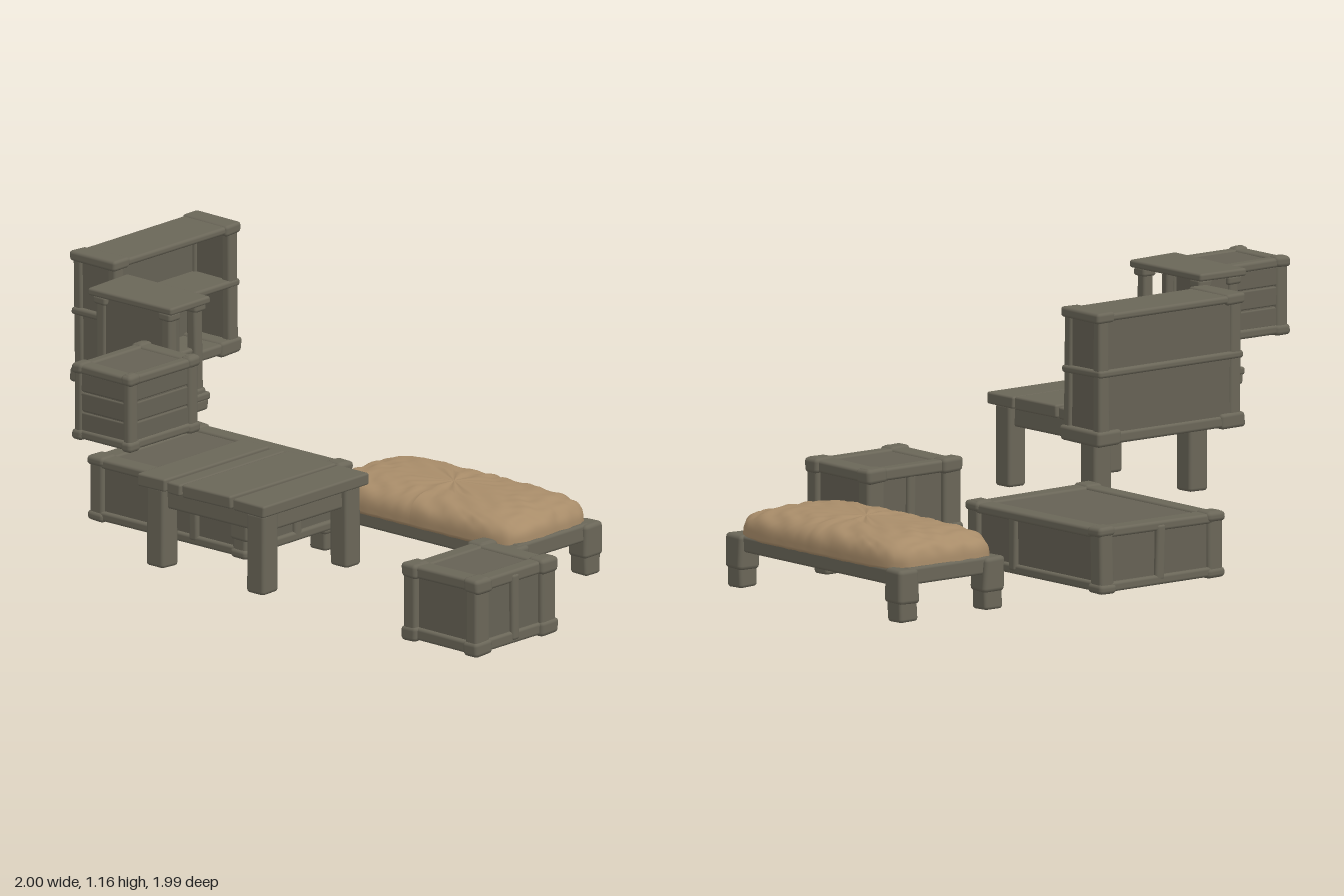
import * as THREE from 'three';
import { RoundedBoxGeometry } from 'three/addons/geometries/RoundedBoxGeometry.js';

const wood = new THREE.MeshStandardMaterial({ color: 0x6a6658 });
wood.name = 'weathered wood';
const board = new THREE.MeshStandardMaterial({ color: 0x656154 });
board.name = 'panel wood';
const straw = new THREE.MeshStandardMaterial({ color: 0xa88c69 });
straw.name = 'straw cloth';

// Rounded, slightly uneven piece of timber given by its extents
function beam(g, name, [x0, x1], [y0, y1], [z0, z1], mat = wood, r = 0.011, wear = 0.003) {
  const w = x1 - x0, h = y1 - y0, d = z1 - z0;
  const geo = new RoundedBoxGeometry(w, h, d, 2, Math.min(r, w * 0.45, h * 0.45, d * 0.45));
  geo.translate((x0 + x1) / 2, (y0 + y1) / 2, (z0 + z1) / 2);
  const p = geo.attributes.position;
  for (let i = 0; i < p.count; i++) {
    const x = p.getX(i), y = p.getY(i), z = p.getZ(i);
    p.setXYZ(i,
      x + wear * Math.sin(y * 23 + z * 17 + x0 * 40),
      y + wear * 0.6 * Math.sin(x * 19 + z * 21 + y0 * 40),
      z + wear * Math.sin(x * 18 + y * 25 + z0 * 40));
  }
  const m = new THREE.Mesh(geo, mat);
  m.name = name;
  g.add(m);
  return m;
}

function part(root, name) {
  const g = new THREE.Group();
  g.name = name;
  root.add(g);
  return g;
}

// The two end intervals of a span, each of the given width
const ends = ([a, b], w) => [[a, a + w], [b - w, b]];
const inset = ([a, b], t) => [a + t, b - t];

// Framed box: corner posts with caps and feet, rails on all edges, recessed panels
function crate(root, name, X, Y, Z, o) {
  const g = part(root, name);
  const { px, pz, rail, lip, cap } = o;
  const Xi = inset(X, lip), Zi = inset(Z, lip), Yi = inset(Y, 0.006);
  for (const x of ends(X, px)) for (const z of ends(Z, pz)) {
    beam(g, 'cornerPost', inset(x, 0.007), Y, inset(z, 0.007), wood, 0.013);
    for (const y of ends(Y, cap)) beam(g, 'cornerCap', x, y, z, wood, 0.015);
  }
  for (const y of ends(Yi, rail)) {
    for (const z of ends(Zi, pz - lip)) beam(g, 'longRail', inset(X, px * 0.6), y, z);
    for (const x of ends(Xi, px - lip)) beam(g, 'sideRail', x, y, inset(Z, pz * 0.6));
  }
  const t = lip + 0.015;
  beam(g, 'panels', inset(X, t), inset(Y, 0.014), inset(Z, t), board, 0.004, 0.001);
  // middle stiles and plank edges
  for (const x of o.stilesX || [])
    for (const z of ends(Zi, 0.03)) beam(g, 'stile', [x - 0.02, x + 0.02], inset(Y, 0.02), z);
  for (const z of o.stilesZ || [])
    for (const x of ends(Xi, 0.03)) beam(g, 'sideStile', x, inset(Y, 0.02), [z - 0.02, z + 0.02]);
  const n = o.planks || 0, [y0, y1] = inset(Y, rail);
  for (let i = 0; i < n; i++) {
    const s = (y1 - y0) / n;
    beam(g, 'plank', inset(X, t - 0.006), [y0 + i * s + 0.002, y0 + (i + 1) * s - 0.002],
      inset(Z, t - 0.006), board, 0.006, 0.001);
  }
}

function bookshelf(root) {
  const g = part(root, 'bookshelf');
  const X = [-0.155, 0.53], Z = [-0.997, -0.777];
  for (const x of ends(X, 0.11)) beam(g, 'foot', x, [0.664, 0.72], Z, wood, 0.013);
  for (const x of ends(X, 0.085)) beam(g, 'topCap', x, [1.113, 1.152], Z, wood, 0.012);
  for (const x of ends(inset(X, 0.012), 0.05)) {
    for (const z of ends(inset(Z, 0.008), 0.04)) beam(g, 'post', x, [0.7, 1.13], z);
  }
  for (const x of ends(inset(X, 0.022), 0.03)) beam(g, 'sidePanel', x, [0.7, 1.13], inset(Z, 0.02), board, 0.004, 0.001);
  beam(g, 'topBoard', inset(X, 0.01), [1.118, 1.146], inset(Z, 0.004));
  beam(g, 'middleShelf', inset(X, 0.006), [0.914, 0.942], inset(Z, 0.004));
  beam(g, 'bottomBoard', inset(X, 0.02), [0.67, 0.712], inset(Z, 0.006));
  beam(g, 'backPanel', inset(X, 0.03), [0.69, 1.13], [-0.982, -0.962], board, 0.004, 0.001);
}

function cabinet(root) {
  const g = part(root, 'sideCabinet');
  const X = [-0.457, -0.237], Z = [-0.64, -0.236];
  beam(g, 'topBoard', X, [1.128, 1.156], Z, wood, 0.009);
  beam(g, 'baseBoard', X, [0.766, 0.794], inset(Z, 0.008), wood, 0.009);
  for (const x of ends(inset(X, 0.018), 0.045)) for (const z of ends(inset(Z, 0.024), 0.045)) {
    beam(g, 'post', x, [0.785, 1.14], z);
    beam(g, 'capital', inset(x, -0.009), [1.098, 1.132], inset(z, -0.009));
    beam(g, 'plinth', inset(x, -0.006), [0.784, 0.812], inset(z, -0.006));
  }
  for (const x of ends(inset(X, 0.008), 0.075)) for (const z of ends(inset(Z, 0.01), 0.08))
    beam(g, 'foot', x, [0.73, 0.775], z);
  beam(g, 'backPanel', [-0.432, -0.405], [0.785, 1.135], inset(Z, 0.035), board, 0.004, 0.001);
  beam(g, 'endPanel', inset(X, 0.03), [0.785, 1.135], [-0.606, -0.582], board, 0.004, 0.001);
  beam(g, 'middleShelf', inset(X, 0.03), [0.94, 0.962], inset(Z, 0.04));
  beam(g, 'frontBrace', [-0.42, -0.365], [0.79, 1.13], [-0.3, -0.27], board);
}

function table(root) {
  const g = part(root, 'table');
  const planks = [[-0.2, -0.065], [-0.053, 0.01], [0.02, 0.252], [0.263, 0.413]];
  planks.forEach((z, i) => beam(g, 'topPlank', [-0.682, -0.112], [0.552, 0.6 - (i % 2) * 0.004], z, wood, 0.008, 0.002));
  const X = [-0.663, -0.133], Z = [-0.177, 0.395];
  for (const x of ends(X, 0.084)) for (const z of ends(Z, 0.086)) beam(g, 'leg', x, [0.254, 0.556], z, wood, 0.013);
  for (const z of ends(inset(Z, 0.02), 0.04)) beam(g, 'apron', inset(X, 0.03), [0.478, 0.553], z);
  for (const x of ends(inset(X, 0.025), 0.04)) beam(g, 'sideApron', x, [0.478, 0.553], inset(Z, 0.03));
}

function bed(root) {
  const g = part(root, 'bed');
  const X = [0.505, 0.997], Z = [-0.448, 0.543];
  for (const x of ends(X, 0.095)) for (const z of ends(Z, 0.092)) {
    beam(g, 'cornerBlock', x, [0.066, 0.194], z, wood, 0.016);
    beam(g, 'leg', inset(x, 0.007), [0, 0.1], inset(z, 0.007), wood, 0.012);
  }
  for (const z of ends(inset(Z, 0.015), 0.05)) beam(g, 'endRail', inset(X, 0.05), [0.13, 0.194], z);
  for (const x of ends(inset(X, 0.015), 0.05)) beam(g, 'sideRail', x, [0.13, 0.19], inset(Z, 0.05));
  for (let i = 0; i < 3; i++)
    beam(g, 'bottomPlank', [0.535 + i * 0.146, 0.675 + i * 0.146], [0.138, 0.165], inset(Z, 0.03), board, 0.004, 0.002);

  // Creased bedding: a squared-off sphere with diagonal folds
  const geo = new THREE.SphereGeometry(1, 96, 48);
  const p = geo.attributes.position;
  const pow = (v, e) => Math.sign(v) * Math.abs(v) ** e;
  for (let i = 0; i < p.count; i++) {
    const x = p.getX(i), y = p.getY(i), z = p.getZ(i);
    const flat = Math.hypot(x, z) || 1;
    const rim = Math.min(1, flat) ** 0.4;
    const k = rim / Math.max(1e-6, (Math.abs(x / flat) ** 7 + Math.abs(z / flat) ** 7) ** (1 / 7));
    const u = (x / flat) * k, v = (z / flat) * k;
    const a = u * 0.24, b = v * 0.47;
    const fold = Math.sin(a * 38 + b * 62 + 2 * Math.sin(a * 21 - b * 17)) * 0.5
      + Math.sin(b * 95 - a * 33 + 2 * Math.sin(a * 29 + b * 11)) * 0.3;
    const side = 1 + 0.014 * fold * rim;
    const dome = y > 0 ? 0.108 * pow(y, 0.65) * (1 - 0.12 * u * u) : 0.03 * y;
    p.setXYZ(i, 0.748 + a * side, 0.192 + dome + (y > 0 ? 0.0055 * fold * Math.min(1, y * 3) : 0), 0.045 + b * side);
  }
  geo.computeVertexNormals();
  const m = new THREE.Mesh(geo, straw);
  m.name = 'bedding';
  g.add(m);
}

export function createModel() {
  const root = new THREE.Group();
  root.name = 'rusticFurnitureSet';
  crate(root, 'smallCrate', [-0.998, -0.612], [0.79, 1.08], [-0.232, 0.054],
    { px: 0.066, pz: 0.05, rail: 0.034, lip: 0.006, cap: 0.04, planks: 3 });
  crate(root, 'storageCrate', [-0.184, 0.26], [0.032, 0.32], [0.627, 0.995],
    { px: 0.092, pz: 0.072, rail: 0.045, lip: 0.013, cap: 0.055, stilesX: [0.04] });
  crate(root, 'lowChest', [-0.067, 0.522], [0.126, 0.37], [-0.997, -0.23],
    { px: 0.08, pz: 0.08, rail: 0.036, lip: 0.007, cap: 0.036, stilesX: [0.23], stilesZ: [-0.49] });
  bookshelf(root);
  cabinet(root);
  table(root);
  bed(root);
  return root;
}
